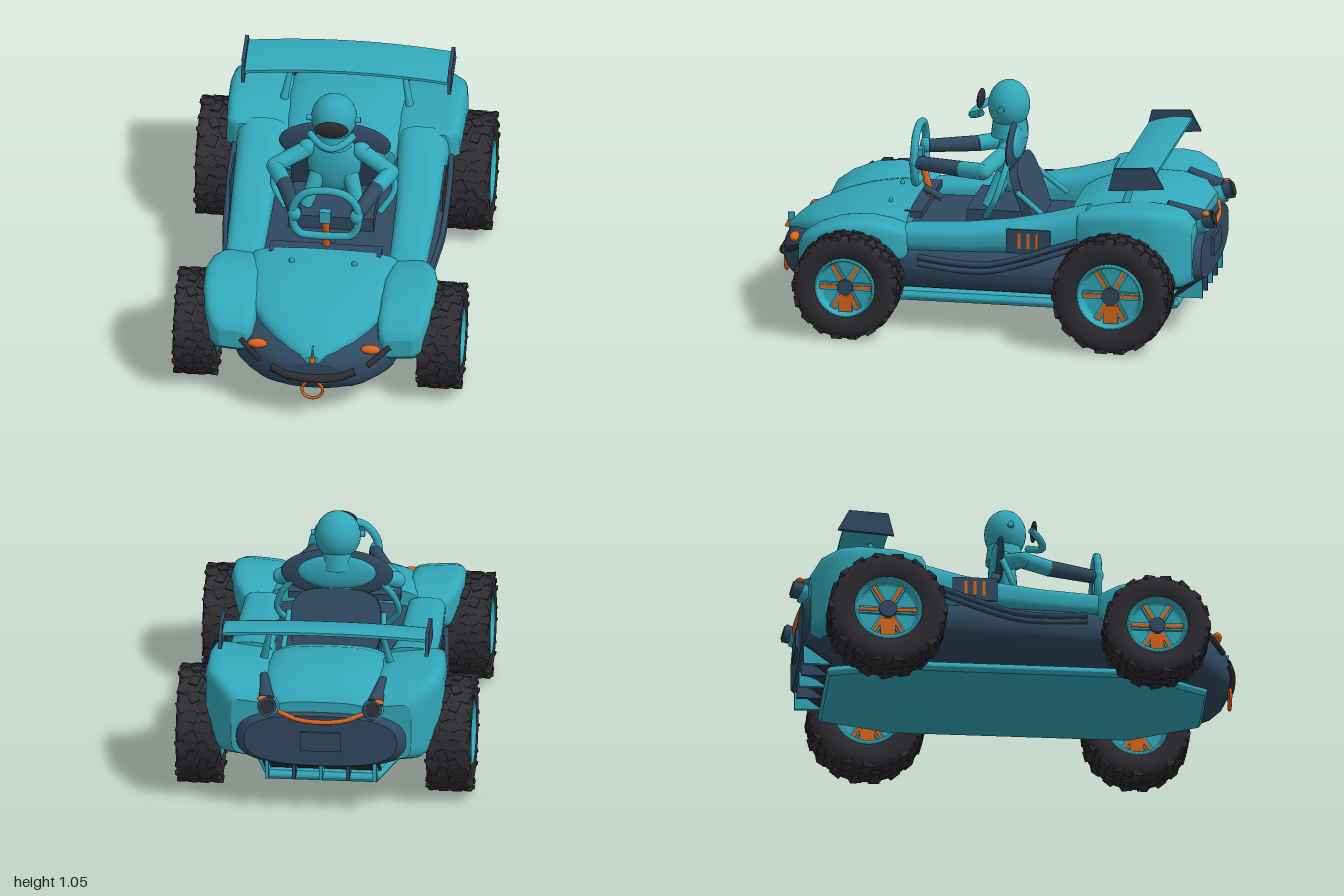
import * as THREE from 'three';
import { mergeGeometries } from 'three/addons/utils/BufferGeometryUtils.js';

const mat = (name, color) => {
  const m = new THREE.MeshStandardMaterial({ color, side: THREE.DoubleSide });
  m.name = name;
  return m;
};
const V = (p) => new THREE.Vector3(...p);
const shape = (pts) => new THREE.Shape(pts.map((p) => new THREE.Vector2(...p)));

// Closed loft of rounded-rectangle sections; stations run front to back as [z, x0, x1, y0, y1].
// tilt raises the outer (large |x|) side of each section.
function loft(stations, n = 4, tilt = 0, seg = 40) {
  const pos = [], idx = [];
  const pw = (v) => Math.sign(v) * Math.abs(v) ** (2 / n);
  const ring = ([z, x0, x1, y0, y1]) => {
    const cx = (x0 + x1) / 2, cy = (y0 + y1) / 2;
    for (let j = 0; j <= seg; j++) {
      const t = (j / seg) * Math.PI * 2, x = cx + ((x1 - x0) / 2) * pw(Math.cos(t));
      pos.push(x, cy + ((y1 - y0) / 2) * pw(Math.sin(t)) + tilt * (Math.abs(x) - Math.max(Math.abs(x0), Math.abs(x1))), z);
    }
    return [cx, cy, z];
  };
  stations.forEach(ring);
  for (let i = 0; i < stations.length - 1; i++) for (let j = 0; j < seg; j++) {
    const a = i * (seg + 1) + j, c = a + seg + 1;
    idx.push(a, c, a + 1, a + 1, c, c + 1);
  }
  [stations[0], stations[stations.length - 1]].forEach((s, e) => {
    const base = pos.length / 3, c = base + seg + 1;
    pos.push(...ring(s));
    for (let j = 0; j < seg; j++) e ? idx.push(c, base + j + 1, base + j) : idx.push(c, base + j, base + j + 1);
  });
  const g = new THREE.BufferGeometry();
  g.setAttribute('position', new THREE.Float32BufferAttribute(pos, 3));
  g.setIndex(idx);
  g.computeVertexNormals();
  return g;
}
const mirrored = (rows) => rows.map(([z, w, y0, y1]) => [z, -w, w, y0, y1]);
const flip = (rows) => rows.map(([z, x0, x1, y0, y1]) => [z, -x1, -x0, y0, y1]);

export function createModel() {
  const root = new THREE.Group();
  root.name = 'buggy';
  const teal = mat('teal paint', 0x32a8ba), navy = mat('navy panels', 0x304a61);
  const black = mat('black rubber', 0x2d2d32), orange = mat('orange trim', 0xd9661c);

  const add = (name, geo, m, p = [0, 0, 0], r = [0, 0, 0], parent = root) => {
    const mesh = new THREE.Mesh(geo, m);
    mesh.name = name;
    mesh.position.set(...p);
    mesh.rotation.set(...r);
    parent.add(mesh);
    return mesh;
  };
  const box = (w, h, d) => new THREE.BoxGeometry(w, h, d);
  const blob = (name, m, p, s) => add(name, new THREE.SphereGeometry(1, 28, 18), m, p).scale.set(...s);
  const tube = (name, m, pts, r, closed = false) =>
    add(name, new THREE.TubeGeometry(new THREE.CatmullRomCurve3(pts.map(V), closed), 48, r, 10, closed), m);
  const limb = (name, m, a, b, r0, r1 = r0) => {
    const d = V(b).sub(V(a));
    const mesh = add(name, new THREE.CylinderGeometry(r1, r0, d.length(), 16), m, V(a).addScaledVector(d, 0.5).toArray());
    mesh.quaternion.setFromUnitVectors(new THREE.Vector3(0, 1, 0), d.normalize());
  };
  // Thin plate cut in the side plane, points given as [-z, y]
  const sidePlate = (name, m, pts, x, depth) =>
    add(name, new THREE.ExtrudeGeometry(shape(pts), { depth, bevelEnabled: false }), m, [x - depth / 2, 0, 0], [0, Math.PI / 2, 0]);

  // Floor pan
  const outline = [[0.15, 0.82], [0.3, 0.54], [0.305, -0.52], [0.22, -0.8]];
  const pan = shape([...outline, ...outline.map(([x, z]) => [-x, z]).reverse()]);
  add('floorPan', new THREE.ExtrudeGeometry(pan, { depth: 0.008, bevelSize: 0.04, bevelThickness: 0.025, bevelSegments: 2 }), teal, [0, 0.137, 0], [Math.PI / 2, 0, 0]);

  // Hull, bonnet and rear deck
  add('lowerHull', loft(mirrored([[0.965, 0.13, 0.2, 0.31], [0.945, 0.19, 0.165, 0.345], [0.9, 0.265, 0.14, 0.37], [0.85, 0.315, 0.132, 0.385], [0.8, 0.355, 0.128, 0.4],
    [0.6, 0.41, 0.13, 0.425], [0.4, 0.45, 0.145, 0.44], [0.2, 0.47, 0.15, 0.44], [-0.3, 0.497, 0.155, 0.44],
    [-0.42, 0.46, 0.155, 0.45], [-0.6, 0.42, 0.16, 0.47], [-0.82, 0.41, 0.18, 0.5], [-0.92, 0.385, 0.22, 0.5], [-0.955, 0.34, 0.24, 0.48]]), 2.7), navy);
  add('bonnet', loft(mirrored([[0.375, 0.325, 0.4, 0.51], [0.5, 0.335, 0.39, 0.51], [0.62, 0.33, 0.365, 0.495], [0.72, 0.29, 0.35, 0.473],
    [0.8, 0.235, 0.34, 0.447], [0.87, 0.172, 0.325, 0.42], [0.925, 0.1, 0.31, 0.38], [0.962, 0.03, 0.3, 0.345]]).reverse(), 2.6), teal);
  add('rearDeck', loft(mirrored([[-0.35, 0.24, 0.42, 0.55], [-0.4, 0.255, 0.42, 0.58], [-0.5, 0.27, 0.42, 0.615], [-0.65, 0.28, 0.43, 0.635],
    [-0.78, 0.275, 0.44, 0.63], [-0.88, 0.25, 0.46, 0.6], [-0.935, 0.2, 0.47, 0.54]]), 3), teal);

  // Fenders and side pods, one of each per side
  const frontFender = [[0.845, 0.31, 0.43, 0.29, 0.38], [0.825, 0.28, 0.47, 0.27, 0.425], [0.76, 0.27, 0.5, 0.265, 0.47], [0.66, 0.27, 0.52, 0.27, 0.508],
    [0.54, 0.27, 0.522, 0.29, 0.52], [0.44, 0.28, 0.5, 0.31, 0.502], [0.37, 0.28, 0.465, 0.33, 0.475], [0.35, 0.3, 0.445, 0.35, 0.46]];
  const sidePod = [[0.385, 0.29, 0.435, 0.37, 0.46], [0.36, 0.28, 0.447, 0.365, 0.475], [0.1, 0.275, 0.456, 0.37, 0.49],
    [-0.1, 0.27, 0.462, 0.38, 0.515], [-0.27, 0.255, 0.466, 0.38, 0.55], [-0.45, 0.24, 0.475, 0.38, 0.6]];
  const rearFender = [[-0.42, 0.25, 0.48, 0.36, 0.59], [-0.44, 0.23, 0.52, 0.35, 0.603], [-0.56, 0.22, 0.53, 0.34, 0.63], [-0.72, 0.22, 0.532, 0.3, 0.64],
    [-0.8, 0.22, 0.522, 0.28, 0.632], [-0.88, 0.22, 0.465, 0.265, 0.602], [-0.925, 0.23, 0.4, 0.28, 0.54]];
  for (const s of [1, -1]) {
    const side = s > 0 ? 'left' : 'right';
    const rows = (r) => (s > 0 ? r : flip(r));
    add(side + 'FrontFender', loft(rows(frontFender), 5, 0.08), teal);
    add(side + 'SidePod', loft(rows(sidePod), 3), teal);
    add(side + 'RearFender', loft(rows(rearFender), 6, 0.12), teal);

    // Door plate with accent stripes, and side pipes
    add(side + 'DoorPlate', box(0.009, 0.11, 0.2), navy, [s * 0.471, 0.452, -0.2]);
    for (const z of [-0.16, -0.2, -0.24]) add(side + 'DoorStripe', box(0.006, 0.07, 0.013), orange, [s * 0.475, 0.455, z]);
    for (const dy of [0, -0.03])
      tube(side + 'SidePipe', navy, [[s * 0.455, 0.35 + dy, 0.3], [s * 0.47, 0.335 + dy, 0.12], [s * 0.483, 0.34 + dy, -0.02],
        [s * 0.488, 0.39 + dy, -0.2], [s * 0.488, 0.437 + dy, -0.33], [s * 0.48, 0.48 + dy, -0.46]], 0.013);

    // Lamps, nose slots and bonnet pins
    blob(side + 'FrontLamp', orange, [s * 0.252, 0.355, 0.895], [0.044, 0.021, 0.022]);
    tube(side + 'NoseSlot', black, [[s * 0.33, 0.338, 0.85], [s * 0.285, 0.312, 0.89], [s * 0.24, 0.288, 0.925]], 0.013);
    blob(side + 'BonnetPin', teal, [s * 0.14, 0.51, 0.48], [0.013, 0.018, 0.009]);

    // Rear exhaust pod on its fairing
    limb(side + 'ExhaustFairing', navy, [s * 0.265, 0.6, -0.79], [s * 0.24, 0.54, -0.94], 0.018, 0.036);
    limb(side + 'ExhaustBase', teal, [s * 0.225, 0.49, -0.88], [s * 0.235, 0.52, -0.955], 0.052, 0.047);
    limb(side + 'ExhaustTip', navy, [s * 0.235, 0.515, -0.93], [s * 0.235, 0.535, -0.992], 0.036, 0.042);
    limb(side + 'ExhaustBore', black, [s * 0.235, 0.53, -0.975], [s * 0.235, 0.537, -0.998], 0.032);
    blob(side + 'RearLamp', orange, [s * 0.258, 0.562, -0.962], [0.024, 0.012, 0.018]);

    // Wing mounts and end plates
    limb(side + 'WingMount', teal, [s * 0.28, 0.6, -0.605], [s * 0.25, 0.755, -0.65], 0.018, 0.011);
    sidePlate(side + 'WingEndPlate', navy, [[0.56, 0.705], [0.81, 0.725], [0.76, 0.82], [0.585, 0.81]], s * 0.46, 0.016);
  }

  // Arched rear wing
  const arch = new THREE.BoxGeometry(0.92, 0.04, 0.195, 24, 1, 8);
  const wp = arch.attributes.position;
  for (let i = 0; i < wp.count; i++) {
    const x = wp.getX(i), z = wp.getZ(i), k = 1 - (x / 0.46) ** 2;
    wp.setY(i, wp.getY(i) * (1 - (z / 0.12) ** 2) + 0.02 * k - z * 0.15);
    wp.setZ(i, z - 0.012 * k);
  }
  arch.computeVertexNormals();
  add('rearWing', arch, teal, [0, 0.765, -0.672]);

  // Nose trim
  tube('frontBumper', black, [[-0.185, 0.268, 0.945], [-0.11, 0.247, 0.97], [0, 0.238, 0.978], [0.11, 0.247, 0.97], [0.185, 0.268, 0.945]], 0.019);
  add('towRing', new THREE.TorusGeometry(0.046, 0.007, 8, 32), orange, [0, 0.175, 0.974]);
  add('noseBadge', new THREE.ConeGeometry(0.022, 0.045, 3), orange, [0, 0.345, 0.965]);
  add('noseFin', box(0.007, 0.06, 0.03), teal, [0, 0.36, 0.955]);

  // Tail trim and diffuser
  tube('tailStrip', orange, [[-0.19, 0.49, -0.937], [-0.1, 0.462, -0.957], [0, 0.455, -0.964], [0.1, 0.462, -0.957], [0.19, 0.49, -0.937]], 0.01);
  add('tailPanel', box(0.18, 0.09, 0.016), navy, [0, 0.36, -0.96]);
  add('diffuserPanel', box(0.52, 0.012, 0.16), black, [0, 0.22, -0.885], [0.65, 0, 0]);
  for (let i = -2; i <= 2; i++)
    sidePlate('diffuserFin', i % 2 ? navy : teal, [[0.82, 0.165], [0.945, 0.165], [0.945, 0.27], [0.92, 0.26]], i * 0.12, 0.016);

  // Wheels: axis along local y, outer side at +y
  function wheel(name, s, x, z, r, hw) {
    const g = new THREE.Group();
    g.name = name;
    g.position.set(s * x, r, z);
    g.rotation.z = (-s * Math.PI) / 2;
    root.add(g);
    const rr = r * 0.55, t = r - 0.008;
    const lathe = (pts) => new THREE.LatheGeometry(pts.map((p) => new THREE.Vector2(...p)), 48);
    const half = [[rr, 0.8], [rr * 1.12, 0.95], [t * 0.82, 0.99], [t * 0.94, 0.95], [t, 0.8], [t, 0.3]];
    add('tyre', lathe([...half.map(([a, b]) => [a, -b * hw]), ...half.map(([a, b]) => [a, b * hw]).reverse()]), black, [0, 0, 0], [0, 0, 0], g);
    const lugs = [], count = 18;
    for (let row = 0; row < 4; row++) for (let k = 0; k < count; k++) {
      const outer = row === 0 || row === 3;
      const lug = box(0.02, hw * 0.4, r * 0.2).rotateX((k + row) % 2 ? 0.45 : -0.3);
      if (outer) lug.rotateZ(row ? -0.12 : 0.12);
      lug.translate(r - (outer ? 0.015 : 0.0125), (row - 1.5) * 0.49 * hw, 0).rotateY(((k + (row % 2) / 2) / count) * Math.PI * 2);
      lugs.push(lug);
    }
    add('treadLugs', mergeGeometries(lugs), black, [0, 0, 0], [0, 0, 0], g);
    const rim = [[1.03, 0.84], [0.94, 0.96], [0.88, 0.55], [0.8, 0.5], [0, 0.45]];
    add('rim', lathe([...rim.map(([a, b]) => [a * rr, -b * hw]).reverse(), ...rim.map(([a, b]) => [a * rr, b * hw])]), teal, [0, 0, 0], [0, 0, 0], g);
    for (const [part, m, w, h] of [['spokes', teal, 0.034, 1.24], ['spokeInlays', orange, 0.016, 1.36]])
      add(part, mergeGeometries([0, 1, 2, 3, 4, 5].map((k) =>
        box(rr * 0.75, hw * h, w).translate(rr * 0.5, 0, 0).rotateY(((k + 0.5) * Math.PI) / 3))), m, [0, 0, 0], [0, 0, 0], g);
    add('brakeCaliper', box(rr * 0.56, hw * 1.42, rr * 0.46), orange, [s * rr * 0.58, 0, 0], [0, 0, 0], g);
    add('hub', new THREE.CylinderGeometry(rr * 0.27, rr * 0.27, hw * 1.6, 20), navy, [0, 0, 0], [0, 0, 0], g);
  }
  for (const s of [1, -1]) {
    const side = s > 0 ? 'left' : 'right';
    wheel(side + 'FrontWheel', s, 0.543, 0.6, 0.24, 0.098);
    wheel(side + 'RearWheel', s, 0.557, -0.6, 0.267, 0.101);
  }

  // Seat
  add('seatBack', loft(mirrored([[0.02, 0.2, -0.17, 0.14], [-0.02, 0.2, -0.17, 0.14]]), 3.5), navy, [0, 0.57, -0.115], [0.36, 0, 0]);
  add('seatBase', box(0.38, 0.07, 0.26), navy, [0, 0.47, 0]);
  blob('seatShell', navy, [0, 0.775, -0.06], [0.25, 0.115, 0.022]);
  blob('seatPad', teal, [0, 0.785, -0.076], [0.175, 0.08, 0.022]);

  // Steering wheel and column
  tube('steeringWheel', teal, [[0, 0.83, 0.375], [0.09, 0.81, 0.375], [0.142, 0.74, 0.375], [0.142, 0.64, 0.375], [0.115, 0.592, 0.375], [0.06, 0.583, 0.375],
    [-0.06, 0.583, 0.375], [-0.115, 0.592, 0.375], [-0.142, 0.64, 0.375], [-0.142, 0.74, 0.375], [-0.09, 0.81, 0.375]], 0.018, true);
  limb('steeringColumn', orange, [0, 0.49, 0.325], [0, 0.68, 0.37], 0.017);
  add('steeringHub', box(0.05, 0.06, 0.03), teal, [0, 0.69, 0.375]);
  limb('shiftLever', navy, [0.03, 0.545, 0.35], [0.03, 0.5, 0.27], 0.016);
  add('dashboard', box(0.5, 0.03, 0.08), navy, [0, 0.485, 0.36]);

  // Driver
  blob('torso', teal, [0, 0.69, -0.03], [0.12, 0.15, 0.055]);
  limb('neck', teal, [0, 0.8, -0.03], [0, 0.88, -0.03], 0.085, 0.075);
  blob('helmet', teal, [0, 0.943, -0.027], [0.102, 0.112, 0.093]);
  limb('helmetPegs', teal, [-0.12, 0.945, -0.01], [0.12, 0.945, -0.01], 0.014);
  blob('visor', black, [0, 0.963, 0.1], [0.076, 0.042, 0.014]);
  tube('chinGuard', teal, [[-0.1, 0.925, 0.08], [-0.05, 0.9, 0.125], [0, 0.888, 0.14], [0.05, 0.9, 0.125], [0.1, 0.925, 0.08]], 0.016);
  for (const s of [1, -1]) {
    const side = s > 0 ? 'left' : 'right';
    blob(side + 'Shoulder', teal, [s * 0.12, 0.76, -0.035], [0.042, 0.042, 0.04]);
    limb(side + 'UpperArm', teal, [s * 0.12, 0.755, -0.035], [s * 0.258, 0.705, 0.04], 0.038, 0.036);
    blob(side + 'Elbow', teal, [s * 0.257, 0.703, 0.04], [0.038, 0.037, 0.038]);
    limb(side + 'Sleeve', teal, [s * 0.257, 0.7, 0.04], [s * 0.205, 0.692, 0.15], 0.038, 0.036);
    limb(side + 'Forearm', navy, [s * 0.205, 0.692, 0.15], [s * 0.135, 0.69, 0.36], 0.036, 0.03);
    blob(side + 'Hand', teal, [s * 0.138, 0.695, 0.375], [0.03, 0.036, 0.025]);
    limb(side + 'Thigh', teal, [s * 0.07, 0.64, -0.02], [s * 0.12, 0.5, 0.05], 0.04, 0.027);
    tube(side + 'SeatStrut', teal, [[s * 0.18, 0.75, -0.06], [s * 0.25, 0.66, -0.04], [s * 0.27, 0.57, -0.01], [s * 0.21, 0.48, 0.04]], 0.014);
    limb(side + 'SeatBrace', teal, [s * 0.21, 0.6, -0.1], [s * 0.225, 0.48, -0.25], 0.012);
  }
  return root;
}
